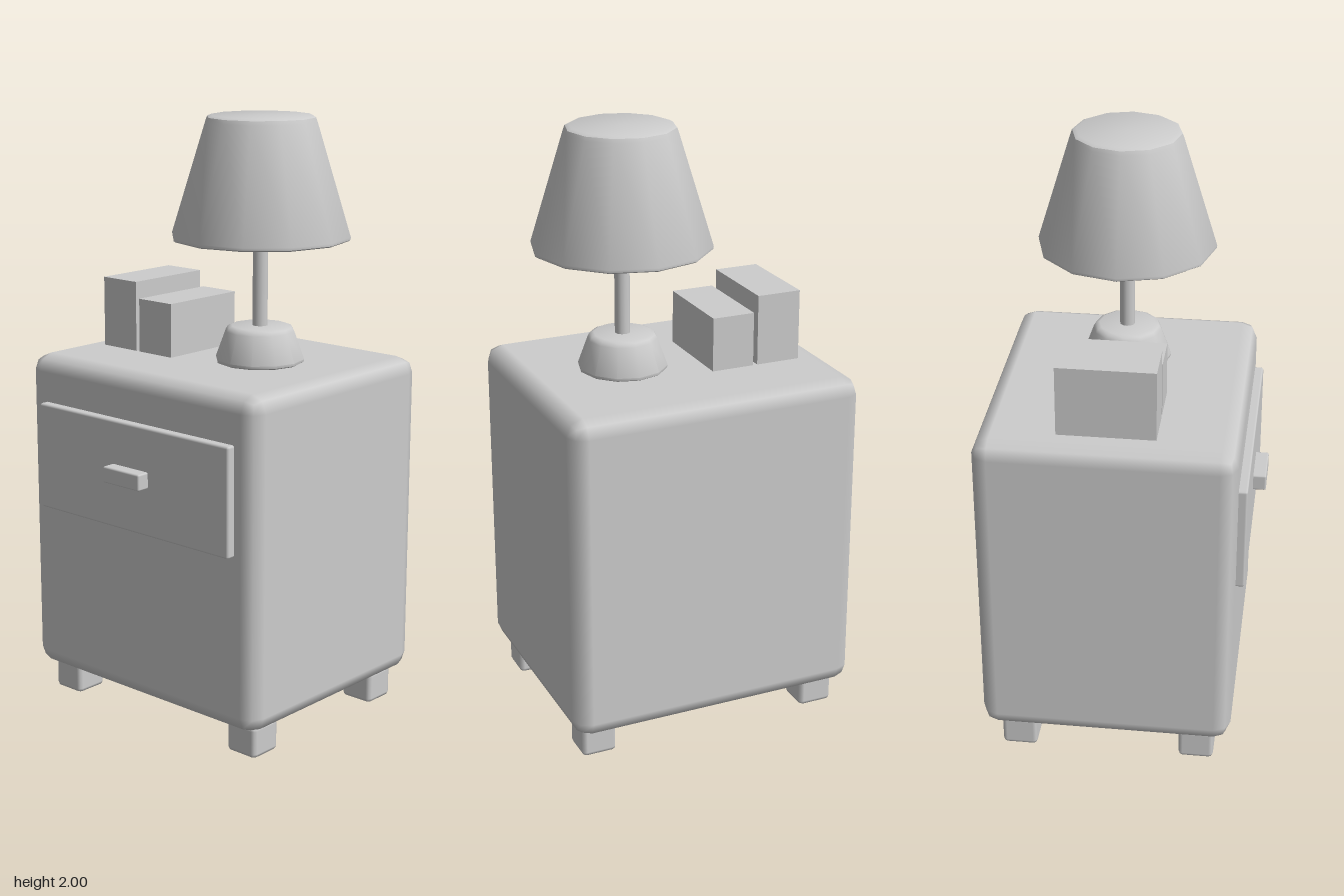
import * as THREE from 'three';
import { toCreasedNormals } from 'three/addons/utils/BufferGeometryUtils.js';
import { RoundedBoxGeometry } from 'three/addons/geometries/RoundedBoxGeometry.js';

export function createModel() {
  const model = new THREE.Group();
  model.name = 'nightstandWithLamp';
  const grey = new THREE.MeshStandardMaterial({ color: 0xcccccc });
  grey.name = 'plain grey';

  function add(name, geometry, x = 0, y = 0, z = 0, parent = model) {
    const mesh = new THREE.Mesh(geometry, grey);
    mesh.name = name;
    mesh.position.set(x, y, z);
    parent.add(mesh);
    return mesh;
  }

  // Box from its minimum and maximum corners, with an optional rounded edge
  function box(name, [x0, y0, z0], [x1, y1, z1], radius = 0) {
    const size = [x1 - x0, y1 - y0, z1 - z0];
    const geometry = radius
      ? new RoundedBoxGeometry(...size, 1, radius)
      : new THREE.BoxGeometry(...size);
    return add(name, geometry, (x0 + x1) / 2, (y0 + y1) / 2, (z0 + z1) / 2);
  }

  // Closed twelve-sided solid from a [radius, height] profile, bottom to top
  function turned(profile, sides = 12) {
    const points = profile.map(([r, y]) => new THREE.Vector2(r, y));
    return toCreasedNormals(new THREE.LatheGeometry(points, sides), 0.75);
  }

  // Cabinet and drawer
  box('cabinet', [-0.5, 0.1, -0.455], [0.5, 1.2, 0.383], 0.055);
  box('drawerFront', [-0.42, 0.685, 0.35], [0.42, 1.045, 0.412], 0.008);
  box('drawerHandle', [-0.08, 0.845, 0.4], [0.08, 0.9, 0.455], 0.006);

  // Four feet
  for (const x of [-0.4, 0.4]) {
    for (const z of [-0.333, 0.268]) {
      box('foot', [x - 0.059, 0, z - 0.059], [x + 0.059, 0.108, z + 0.059], 0.015);
    }
  }

  // Books standing on the top
  box('tallBook', [-0.4, 1.2, -0.195], [-0.25, 1.435, 0.122]);
  box('shortBook', [-0.235, 1.2, -0.195], [-0.09, 1.38, 0.122]);

  // Table lamp
  const lamp = new THREE.Group();
  lamp.name = 'lamp';
  lamp.position.set(0.16, 0, -0.037);
  model.add(lamp);
  add('lampBase', turned([
    [0, 1.2], [0.138, 1.2], [0.145, 1.204], [0.147, 1.213],
    [0.114, 1.304], [0.107, 1.316], [0.094, 1.321], [0, 1.321],
  ]), 0, 0, 0, lamp);
  add('lampPole', new THREE.CylinderGeometry(0.025, 0.025, 0.32, 12), 0, 1.46, 0, lamp);
  add('lampShade', turned([
    [0, 1.605], [0.286, 1.605], [0.292, 1.609], [0.293, 1.618],
    [0.181, 1.981], [0.176, 1.994], [0.163, 2], [0, 2],
  ]), 0, 0, 0, lamp);

  return model;
}
